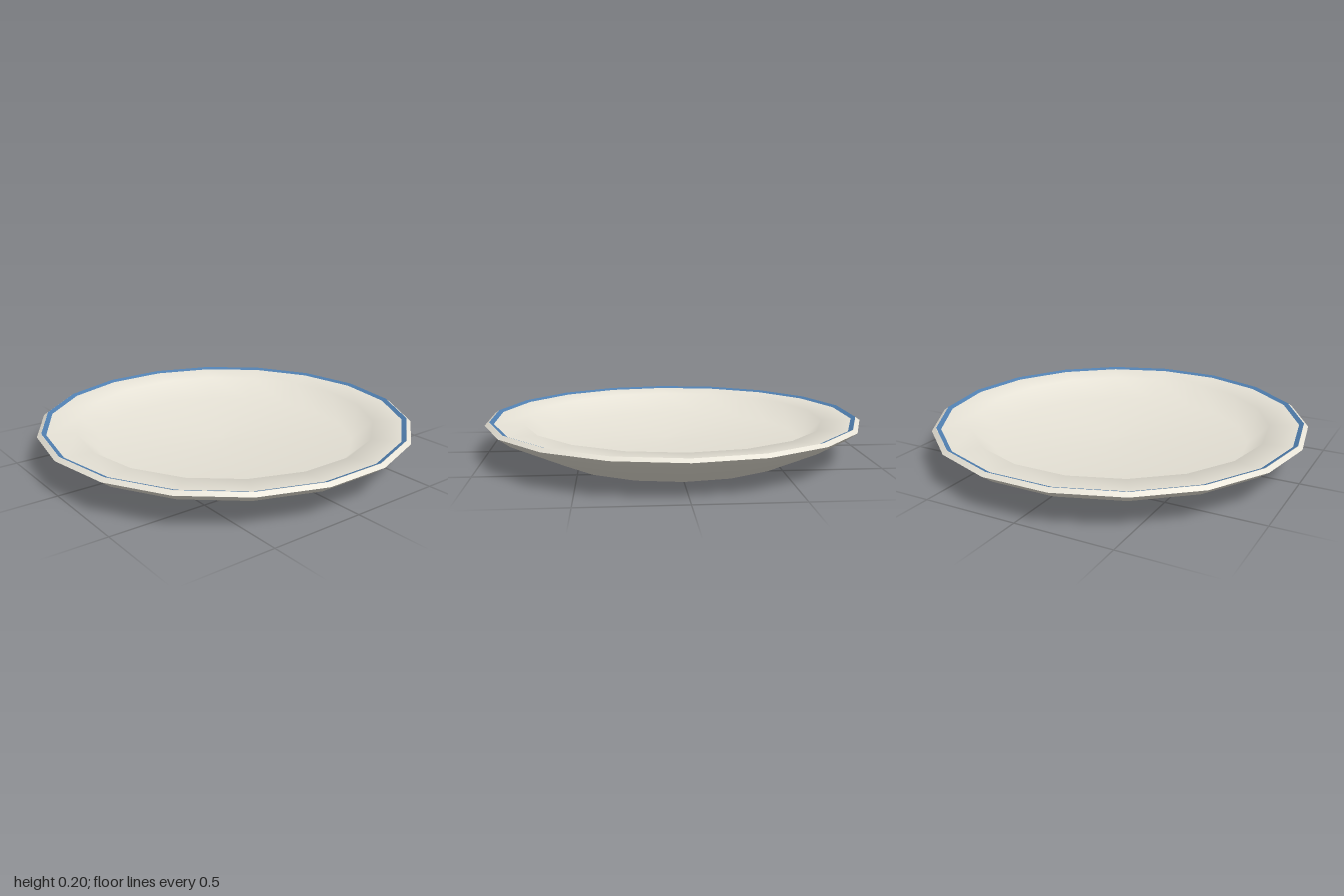
import * as THREE from 'three';

const SIDES = 18;

// Turned surface whose corners start on the x axis
function turned(name, profile, material) {
  const points = profile.map(([r, y]) => new THREE.Vector2(r, y));
  const mesh = new THREE.Mesh(new THREE.LatheGeometry(points, SIDES, Math.PI / 2), material);
  mesh.name = name;
  return mesh;
}

export function createModel() {
  const glaze = new THREE.MeshStandardMaterial({ name: 'creamGlaze', color: 0xe6e2d6 });
  const blue = new THREE.MeshStandardMaterial({ name: 'blueTrim', color: 0x507fb0 });

  const plate = new THREE.Group();
  plate.name = 'plate';

  plate.add(
    // Recessed base, foot ring and flared outer wall
    turned('underside', [
      [0, 0.03], [0.53, 0.03], [0.595, 0], [0.66, 0], [0.94, 0.135], [1, 0.18],
    ], glaze),
    // Bevelled outer lip
    turned('lip', [[1, 0.18], [0.978, 0.195]], glaze),
    // Rim, sloping well wall and flat floor
    turned('eatingSurface', [
      [0.978, 0.195], [0.95, 0.184], [0.8, 0.175], [0.69, 0.07], [0, 0.06],
    ], glaze),
    // Thin painted band just inside the lip
    turned('rimStripe', [[0.977, 0.1962], [0.953, 0.1868]], blue),
  );
  return plate;
}
